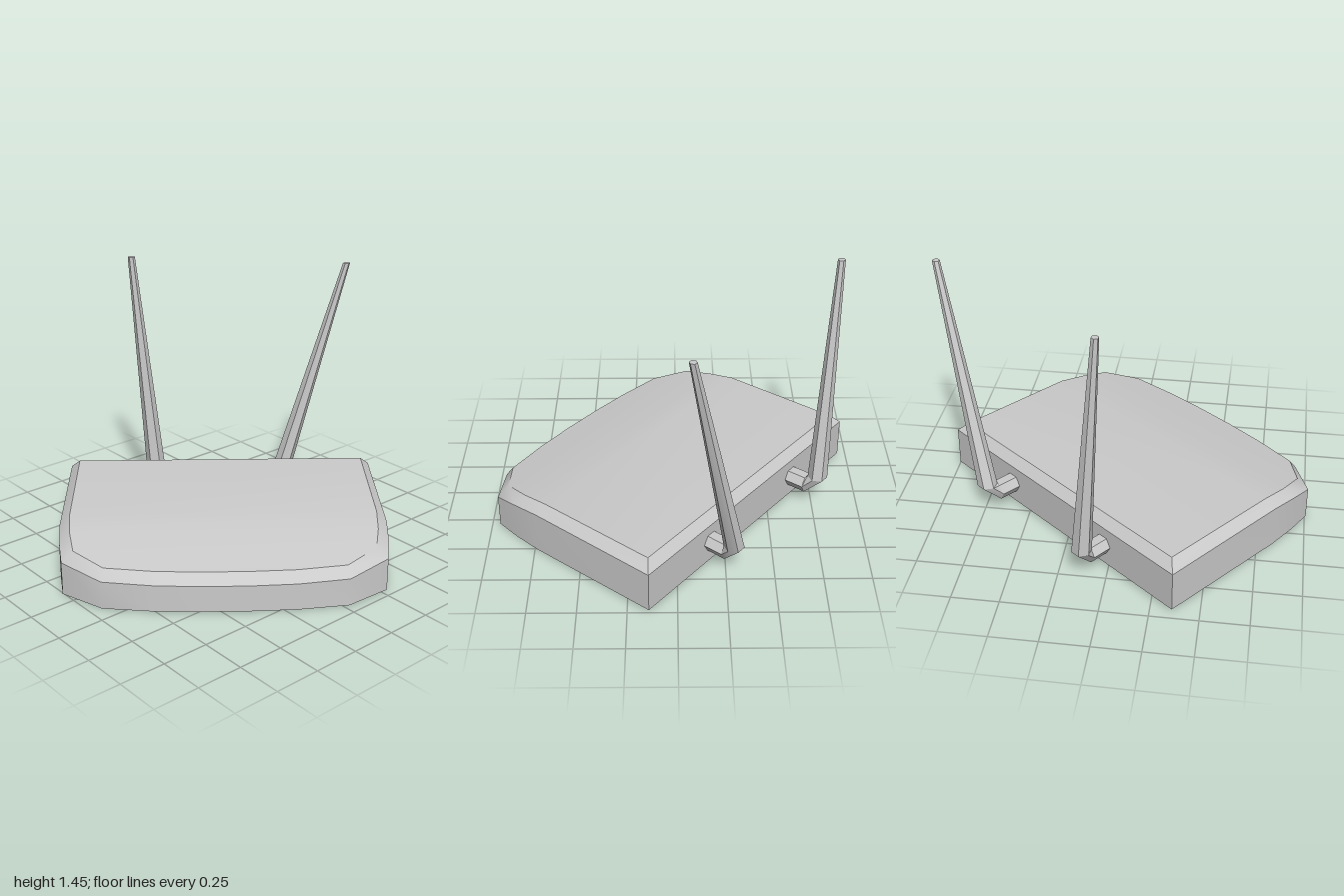
import * as THREE from 'three';
import { toCreasedNormals } from 'three/addons/utils/BufferGeometryUtils.js';

const material = new THREE.MeshStandardMaterial({ color: 0xcccccc });

// Skins a stack of equal-length loops. Each cap is filled in strips between
// point k and its mirror partner at the other end of the loop.
function loft(rings, crease) {
  const n = rings[0].length;
  const positions = [];
  const quad = (a, b, c, d) => {
    for (const p of [a, b, c, a, c, d]) positions.push(...p);
  };
  for (let r = 0; r < rings.length - 1; r++) {
    const low = rings[r], high = rings[r + 1];
    for (let i = 0; i < n; i++) {
      const j = (i + 1) % n;
      quad(low[i], high[i], high[j], low[j]);
    }
  }
  const first = rings[0], last = rings[rings.length - 1];
  for (let k = 0; k < n / 2 - 1; k++) {
    const m = n - 1 - k;
    quad(last[k], last[m], last[m - 1], last[k + 1]);
    quad(first[k], first[k + 1], first[m - 1], first[m]);
  }
  const geometry = new THREE.BufferGeometry();
  geometry.setAttribute('position', new THREE.Float32BufferAttribute(positions, 3));
  return toCreasedNormals(geometry, crease);
}

// Right half of a loop plus its mirror image
function mirrored(half) {
  return [...half, ...half.map(([x, y, z]) => [-x, y, z]).reverse()];
}

function createHousing() {
  // Half outlines running from the back corner round to the front centre
  const rim = [
    [0.872, 0.235, 0], [0.868, 0.235, 0.76], [0.855, 0.212, 0.93], [0.832, 0.182, 1.08],
    [0.622, 0.151, 1.227], [0.36, 0.146, 1.262], [0.12, 0.144, 1.272],
  ];
  const top = [
    [0.82, 0.288, 0.045], [0.815, 0.284, 0.74], [0.802, 0.26, 0.9], [0.772, 0.235, 1.056],
    [0.612, 0.207, 1.185], [0.355, 0.201, 1.216], [0.12, 0.2, 1.226],
  ];
  // Underside slopes up slightly towards the back
  const base = rim.map(([x, , z]) => [x, 0.014 * (1 - z / 1.272), z]);
  const mesh = new THREE.Mesh(loft([base, rim, top].map(mirrored), 0.6), material);
  mesh.name = 'housing';
  return mesh;
}

// Six-sided section: 'upright' faces along z (stub), otherwise faces along y (mast)
function hexagon(x, y, z, radius, upright) {
  const ring = [];
  for (let i = 0; i < 6; i++) {
    const a = (i * Math.PI) / 3;
    const across = radius * Math.cos(a);
    const offset = radius * 0.98 * Math.sin(a);
    ring.push(upright ? [x + across, y + offset, z] : [x + across, y, z + offset]);
  }
  return ring;
}

function createAntenna(name, side, tipX, tipY) {
  const rings = [
    hexagon(side * 0.368, 0.133, 0.02, 0.054, true),    // inside the back wall
    hexagon(side * 0.37, 0.133, -0.108, 0.054, true),   // start of elbow
    hexagon(side * 0.387, 0.188, -0.161, 0.054, false), // end of elbow
    hexagon(tipX, tipY, -0.145, 0.02, false),           // tip
  ];
  const mesh = new THREE.Mesh(loft(rings, 0.4), material);
  mesh.name = name;
  return mesh;
}

export function createModel() {
  const model = new THREE.Group();
  model.name = 'router';
  const body = new THREE.Group();
  body.name = 'routerBody';
  body.add(
    createHousing(),
    createAntenna('leftAntenna', 1, 0.719, 1.41),
    createAntenna('rightAntenna', -1, -0.496, 1.453),
  );
  // The whole device is turned on the ground
  body.rotation.y = -0.679;
  body.position.set(0.318, 0, -0.405);
  model.add(body);
  return model;
}
